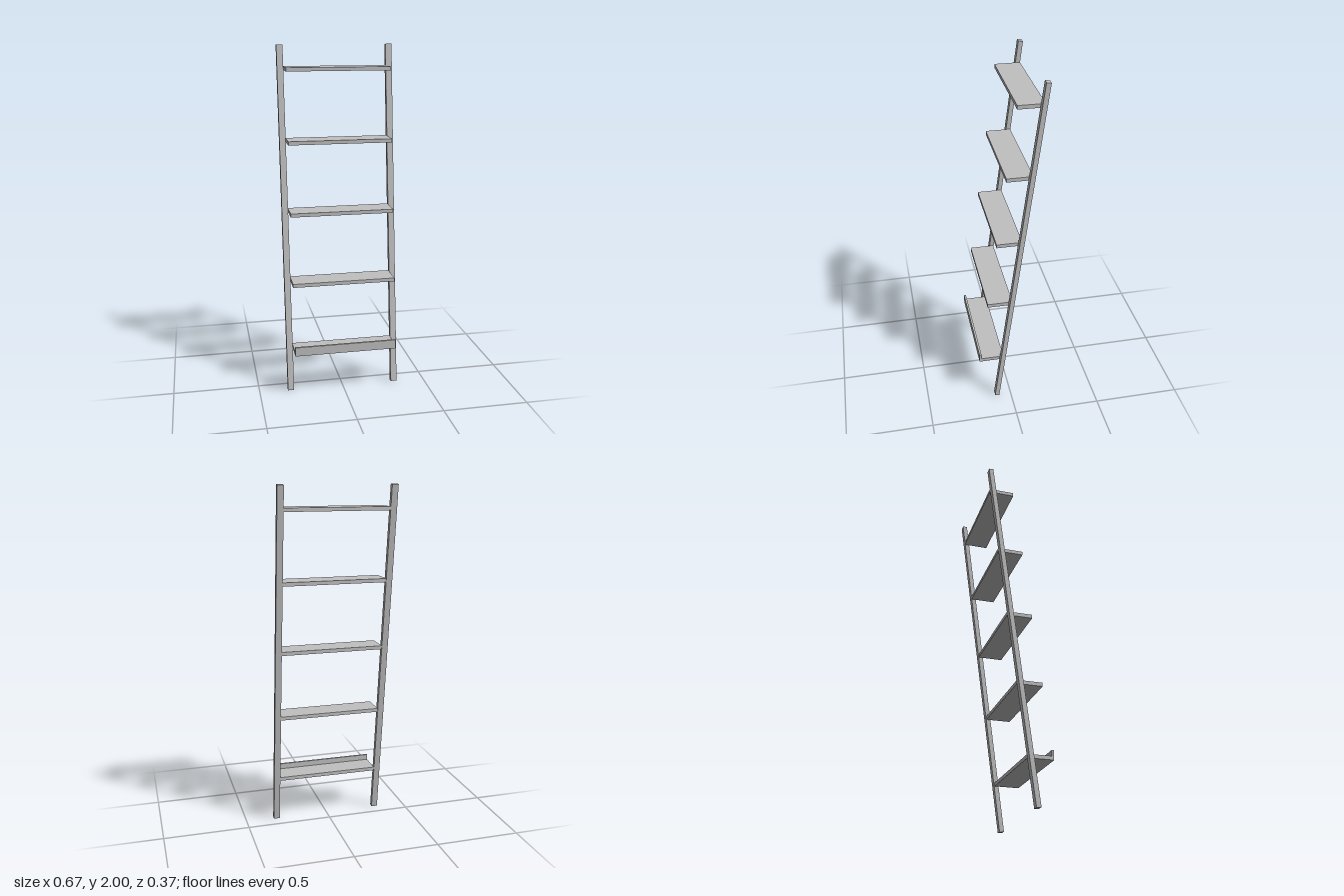
import * as THREE from 'three';

export function createModel() {
  const group = new THREE.Group();
  const grey = new THREE.MeshStandardMaterial({ color: 0xc0c0c0 });
  grey.name = 'light grey';

  const addBox = (name, size, position) => {
    const mesh = new THREE.Mesh(new THREE.BoxGeometry(...size), grey);
    mesh.name = name;
    mesh.position.set(...position);
    group.add(mesh);
    return mesh;
  };

  // Two side rails leaning backwards, with square-cut ends
  const lean = 0.1281;
  for (const side of [-1, 1]) {
    const rail = addBox(side > 0 ? 'leftRail' : 'rightRail', [0.036, 2.0132, 0.026], [side * 0.315, 1, -0.0445]);
    rail.rotation.x = -lean;
  }

  // Five level shelves, each stepped back along the rails
  const width = 0.594, depth = 0.144, thickness = 0.021;
  for (let i = 0; i < 5; i++) {
    const front = 0.184 - i * 0.0525;
    addBox(`shelf${i + 1}`, [width, thickness, depth], [0, 0.269 + i * 0.4, front - depth / 2]);
  }

  // Raised lip along the front of the lowest shelf
  addBox('shelfLip', [width, 0.032, 0.012], [0, 0.2955, 0.178]);

  return group;
}
